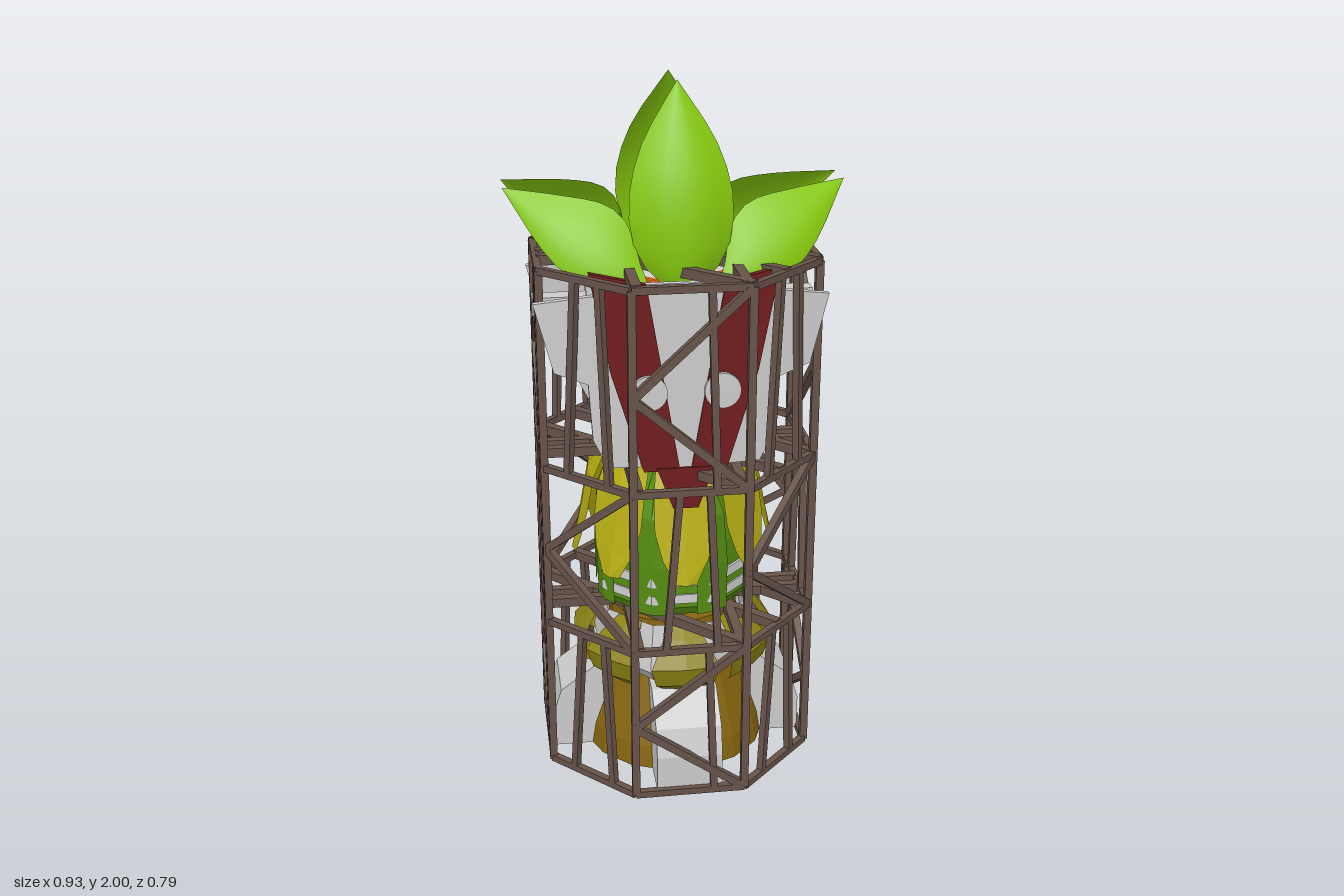
import * as THREE from 'three';

const mat = (color, extra = {}) =>
  new THREE.MeshStandardMaterial({ color, flatShading: true, side: THREE.DoubleSide, ...extra });
const M = {
  grey: mat(0xcccccc), brown: mat(0x66534a), red: mat(0x701c1e), orange: mat(0xb84c12),
  yellow: mat(0xb8ae14), green: mat(0x558c12), olive: mat(0x8c8214), gold: mat(0x86640f),
  leaf: mat(0x86c80e, { flatShading: false }),
};
const V = (x, y, z) => new THREE.Vector3(x, y, z);

function add(parent, name, geo, material, x = 0, y = 0, z = 0) {
  const m = new THREE.Mesh(geo, material);
  m.name = name;
  m.position.set(x, y, z);
  parent.add(m);
  return m;
}

// square bar between two points
function bar(parent, name, a, b, t = 0.022) {
  const m = add(parent, name, new THREE.BoxGeometry(t, t, a.distanceTo(b)), M.brown);
  m.position.copy(a).lerp(b, 0.5);
  m.lookAt(b);
}

// surface through equal-length rows of points
function loft(rows) {
  const n = rows[0].length, idx = [];
  for (let i = 0; i < rows.length - 1; i++)
    for (let j = 0; j < n - 1; j++) {
      const a = i * n + j, b = a + n;
      idx.push(a, a + 1, b, a + 1, b + 1, b);
    }
  const g = new THREE.BufferGeometry().setFromPoints(rows.flat());
  g.setIndex(idx);
  g.computeVertexNormals();
  return g;
}

// octagonal (or rounder) ring body from [radius, y] pairs, flats facing the axes
function body(parent, name, pts, material, sides = 8) {
  const g = new THREE.LatheGeometry(pts.map(p => new THREE.Vector2(...p)), sides);
  g.rotateY(Math.PI / sides);
  return add(parent, name, g, material);
}

// ring of petals from [y, radius, halfWidth] rows
function petals(parent, name, rows, material, count, offset = 0) {
  const g = loft(rows.map(([y, r, w]) => [V(-w, y, r - 0.01), V(0, y, r), V(w, y, r - 0.01)]));
  for (let i = 0; i < count; i++)
    add(parent, name, g, material).rotation.y = offset + i * 2 * Math.PI / count;
}

// thin plate, bowed backwards towards its sides
function plate(parent, name, pts, material, z, depth = 0.02) {
  const g = new THREE.ExtrudeGeometry(new THREE.Shape(pts.map(p => new THREE.Vector2(...p))),
    { depth, bevelEnabled: false });
  const p = g.attributes.position;
  for (let i = 0; i < p.count; i++) p.setZ(i, p.getZ(i) + z - 0.35 * p.getX(i) ** 2);
  g.computeVertexNormals();
  add(parent, name, g, material);
}

// cupped leaf from its spine, a side direction and the inward direction of its edges
function leaf(parent, spine, side, cup, width) {
  const curve = new THREE.CatmullRomCurve3(spine), rows = [];
  const prof = [0.1, 0.35, 0.7, 0.92, 1, 0.98, 0.88, 0.72, 0.5, 0.25, 0];
  prof.forEach((w, i) => {
    const p = curve.getPoint(i / (prof.length - 1)), row = [];
    for (let j = -3; j <= 3; j++) {
      const s = j / 3;
      row.push(p.clone().addScaledVector(side, s * w * width).addScaledVector(cup, s * s * w));
    }
    rows.push(row);
  });
  add(parent, 'leaf', loft(rows), M.leaf);
}

function buildCage() {
  const cage = new THREE.Group();
  cage.name = 'cage';
  const levels = [0.013, 0.475, 0.955, 1.52], R = 0.381 / Math.cos(Math.PI / 8);
  const corner = (i, y) => {
    const a = (i + 0.5) * Math.PI / 4;
    return V(R * Math.sin(a), y, R * Math.cos(a));
  };
  for (let i = 0; i < 8; i++) {
    bar(cage, 'cagePost', corner(i, levels[0]), corner(i, levels[3]));
    for (const y of levels) bar(cage, 'cageRing', corner(i, y), corner(i + 1, y), 0.02);
    for (let s = 0; s < 3; s++) {
      const y0 = levels[s], y1 = levels[s + 1], ym = y0 + (y1 - y0) * 0.48;
      const at = (t, y) => corner(i, y).lerp(corner(i + 1, y), t);
      const axisFace = i % 2 === 1;
      if (axisFace === (s !== 1)) {
        // zigzag brace
        bar(cage, 'cageBrace', at(1, y1), at(0, ym));
        bar(cage, 'cageBrace', at(0, ym), at(1, y0));
        if (axisFace) bar(cage, 'cageStrut', at(0.72, y0), at(0.66, y1), 0.02);
      } else {
        // pair of leaning struts
        bar(cage, 'cageStrut', at(0.28, y0), at(0.4, y1), 0.02);
        bar(cage, 'cageStrut', at(0.74, y0), at(0.66, y1), 0.02);
      }
    }
  }
  // flat trusses across the cage
  for (const y of levels.slice(1)) {
    for (const x of [-0.145, 0.145]) bar(cage, 'crossBeam', V(x, y, -0.38), V(x, y, 0.38), 0.028);
    for (const z of [-0.015, 0.045]) bar(cage, 'crossBeam', V(-0.38, y, z), V(0.38, y, z), 0.028);
    for (const [a, b, c, d] of [[-0.16, -0.38, 0.38, 0.16], [-0.27, -0.27, 0.27, 0.27], [-0.38, -0.16, 0.16, 0.38]])
      bar(cage, 'crossBeam', V(a, y, b), V(c, y, d), 0.028);
  }
  return cage;
}

function buildBase() {
  const g = new THREE.Group();
  g.name = 'base';
  body(g, 'baseCone', [[0, 0.012], [0.28, 0.012], [0.27, 0.08], [0.2, 0.3], [0.19, 0.46], [0, 0.46]], M.gold, 16);
  body(g, 'baseCollar', [[0.2, 0.26], [0.25, 0.32], [0.22, 0.46]], M.grey);
  petals(g, 'collarPetal', [[0.26, 0.24, 0.05], [0.3, 0.285, 0.085], [0.36, 0.3, 0.1], [0.43, 0.25, 0.06], [0.46, 0.21, 0.04]], M.olive, 8);
  // four feet
  const side = new THREE.Shape([[0.15, 0.012], [0.375, 0.012], [0.375, 0.12], [0.35, 0.2], [0.25, 0.275], [0.15, 0.275]]
    .map(p => new THREE.Vector2(...p)));
  const foot = new THREE.ExtrudeGeometry(side, { depth: 0.19, bevelEnabled: false });
  foot.translate(0, 0, -0.095);
  for (let i = 0; i < 4; i++) add(g, 'foot', foot, M.grey).rotation.y = i * Math.PI / 2;
  return g;
}

function buildMiddle() {
  const g = new THREE.Group();
  g.name = 'middleStage';
  body(g, 'greenBody', [[0, 0.49], [0.215, 0.49], [0.235, 0.52], [0.225, 0.7], [0.19, 0.85], [0.14, 0.96], [0, 0.96]], M.green);
  for (const y of [0.535, 0.59])
    body(g, 'paleStripe', [[0.232, y], [0.24, y], [0.238, y + 0.027], [0.228, y + 0.027]], M.grey);
  petals(g, 'yellowPetal', [[0.96, 0.215, 0.075], [0.88, 0.25, 0.085], [0.78, 0.268, 0.085], [0.7, 0.285, 0.065], [0.63, 0.3, 0.03]], M.yellow, 8);
  petals(g, 'greenSepal', [[0.93, 0.18, 0.01], [0.8, 0.232, 0.04], [0.65, 0.238, 0.05], [0.5, 0.235, 0.05]], M.green, 8, Math.PI / 8);
  return g;
}

function buildCabin() {
  const g = new THREE.Group();
  g.name = 'cabin';
  body(g, 'cabinBody', [[0, 0.97], [0.222, 0.97], [0.222, 1.42], [0.185, 1.475], [0.155, 1.48]], M.orange);
  body(g, 'cabinRoof', [[0.158, 1.478], [0.1, 1.495], [0, 1.5]], M.grey);
  body(g, 'cabinBand', [[0.222, 1.395], [0.229, 1.395], [0.229, 1.41], [0.222, 1.41]], M.grey);

  // side windows and brackets
  const frame = new THREE.Shape([[-0.08, -0.105], [0.08, -0.105], [0.08, 0.105], [-0.08, 0.105]].map(p => new THREE.Vector2(...p)));
  frame.holes.push(new THREE.Path([[-0.05, -0.075], [-0.05, 0.075], [0.05, 0.075], [0.05, -0.075]].map(p => new THREE.Vector2(...p))));
  const frameGeo = new THREE.ExtrudeGeometry(frame, { depth: 0.025, bevelEnabled: false });
  for (const s of [-1, 1]) {
    const sideGroup = new THREE.Group();
    sideGroup.name = 'cabinSide';
    sideGroup.rotation.y = s * Math.PI / 2;
    add(sideGroup, 'windowFrame', frameGeo, M.grey, 0, 1.135, 0.2);
    add(sideGroup, 'windowPane', new THREE.BoxGeometry(0.1, 0.15, 0.01), M.grey, 0, 1.135, 0.205);
    const bracket = add(sideGroup, 'sideBracket', new THREE.BoxGeometry(0.06, 0.16, 0.03), M.grey, 0, 1.37, 0.225);
    bracket.rotation.x = 0.1;
    add(sideGroup, 'sideArm', new THREE.BoxGeometry(0.056, 0.05, 0.18), M.grey, 0, 1.38, 0.305);
    g.add(sideGroup);
  }

  // front and back shields
  for (const turn of [0, Math.PI]) {
    const f = new THREE.Group();
    f.name = 'shield';
    f.rotation.y = turn;
    plate(f, 'shieldCentre', [[-0.11, 1.5], [-0.02, 0.97], [0.02, 0.97], [0.11, 1.5]], M.grey, 0.245);
    plate(f, 'shieldTip', [[-0.08, 0.98], [-0.035, 0.86], [0.035, 0.86], [0.08, 0.98]], M.red, 0.255);
    for (const s of [-1, 1]) {
      const m = pts => pts.map(([x, y]) => [s * x, y]);
      plate(f, 'shieldStripe', m([[0.105, 1.5], [0.255, 1.53], [0.2, 1.25], [0.115, 0.97], [0.015, 0.97]]), M.red, 0.25);
      plate(f, 'shieldWing', m([[0.22, 1.47], [0.4, 1.44], [0.35, 1.25], [0.26, 1.22], [0.25, 1.06], [0.21, 0.98], [0.12, 0.98]]), M.grey, 0.24);
      const dot = new THREE.CylinderGeometry(0.05, 0.05, 0.012, 24);
      dot.rotateX(Math.PI / 2);
      add(f, 'shieldDot', dot, M.grey, s * 0.1, 1.2, 0.27);
    }
    // leaf crown
    leaf(f, [V(0, 1.43, 0.21), V(0, 1.55, 0.238), V(0, 1.72, 0.225), V(0, 1.87, 0.165), V(0, 2, 0.088)],
      V(1, 0, 0), V(0, 0, -0.06), 0.14);
    for (const s of [-1, 1])
      leaf(f, [V(s * 0.1, 1.48, 0.235), V(s * 0.2, 1.56, 0.215), V(s * 0.32, 1.625, 0.165), V(s * 0.465, 1.72, 0.05)],
        V(s * -0.45, 0.85, -0.4), V(0, 0.01, -0.03), 0.105);
    g.add(f);
  }
  return g;
}

export function createModel() {
  const model = new THREE.Group();
  model.name = 'cagedTower';
  model.add(buildCage(), buildBase(), buildMiddle(), buildCabin());
  return model;
}
